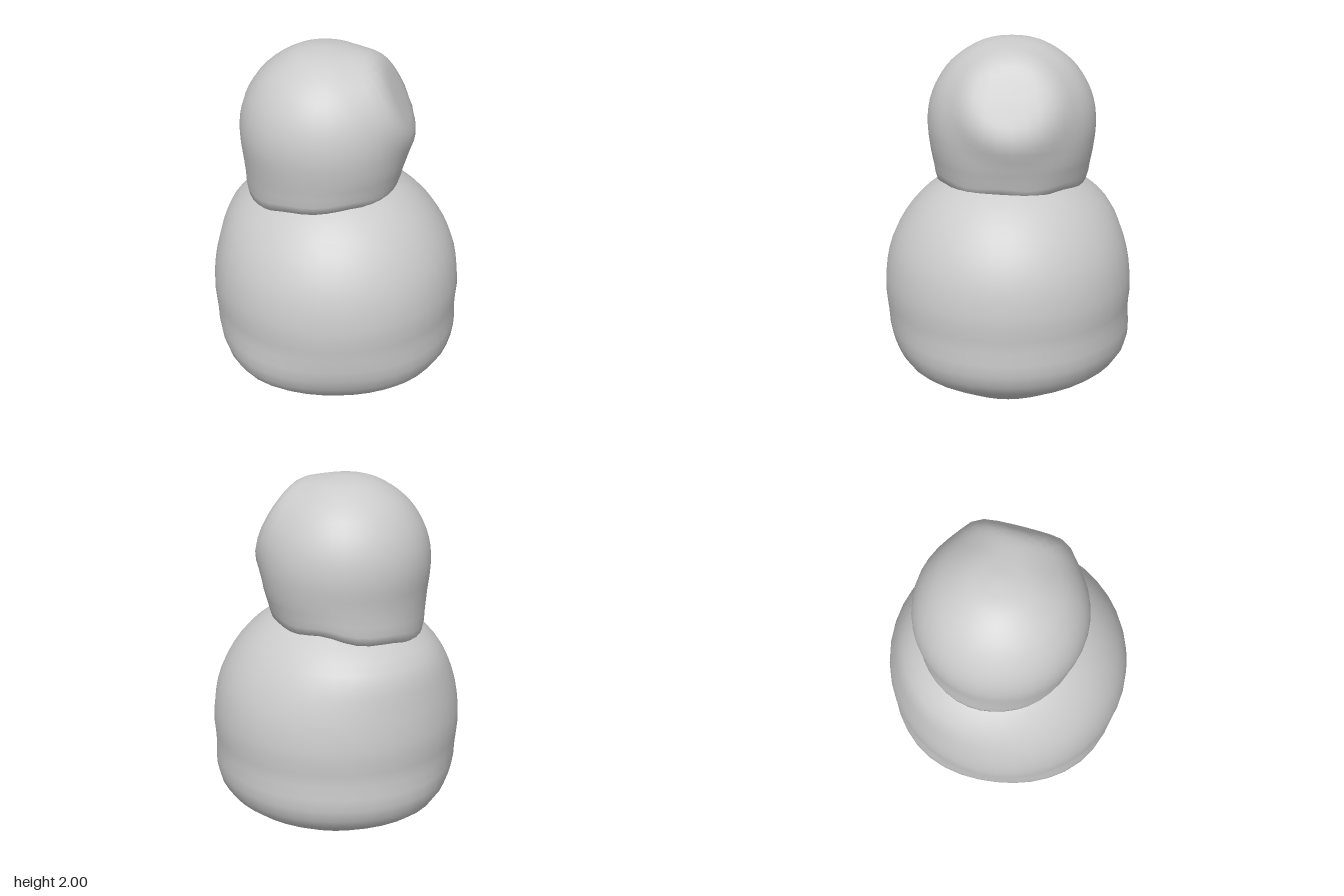
import * as THREE from 'three';
import { mergeVertices } from 'three/addons/utils/BufferGeometryUtils.js';

const gauss = (d, w) => Math.exp(-(d * d) / (w * w));

// Cyclic smooth interpolation of values spaced evenly round the y axis, from +z towards +x
function around(values, angle) {
  const n = values.length;
  const t = ((angle / (Math.PI * 2)) * n + n) % n;
  const i = Math.floor(t), f = t - i, s = f * f * (3 - 2 * f);
  return values[i % n] * (1 - s) + values[(i + 1) % n] * s;
}

// Lathe a curve through the profile, then sculpt each vertex by a rule
function sculpt(name, profile, sculptVertex) {
  const curve = new THREE.SplineCurve(profile.map(([r, y]) => new THREE.Vector2(r, y)));
  const points = curve.getSpacedPoints(32);
  points.forEach((p) => { p.x = Math.max(p.x, 0); });
  points[0].x = points[32].x = 0;
  let geo = new THREE.LatheGeometry(points, 40);
  geo.deleteAttribute('uv');
  geo.deleteAttribute('normal');
  const pos = geo.attributes.position, v = new THREE.Vector3();
  for (let i = 0; i < pos.count; i++) {
    v.fromBufferAttribute(pos, i);
    sculptVertex(v, Math.atan2(v.x, v.z));
    pos.setXYZ(i, v.x, v.y, v.z);
  }
  geo = mergeVertices(geo, 1e-4);
  geo.computeVertexNormals();
  const mesh = new THREE.Mesh(geo, new THREE.MeshStandardMaterial({ color: 0xcccccc }));
  mesh.name = name;
  return mesh;
}

export function createModel() {
  const group = new THREE.Group();
  group.name = 'stackedFigure';

  // Body: a ball with an uneven rim pressed out near its base
  const R = 0.67, CY = 0.68;
  const rim = [1, 0.6, 0.9, 0.95, 0.95, 1.05, 1.12, 0.65];
  const bodyProfile = [
    [0, 0.005], [0.14, 0.02], [0.27, 0.062], [0.43, 0.15], [0.61, 0.265], [0.665, 0.39],
    [0.66, 0.54], [0.67, 0.68], [0.645, 0.86], [0.58, 1.015], [0.474, 1.154], [0.335, 1.26],
    [0.17, 1.328], [0, 1.35],
  ];
  group.add(sculpt('body', bodyProfile, (v, a) => {
    const r = Math.hypot(v.x, v.z);
    if (r < 1e-4) return;
    let target = r;
    if (v.y < CY) {
      const ball = Math.sqrt(Math.max(0, R * R - (v.y - CY) ** 2));
      target = ball + (r - ball) * around(rim, a);
      if (r < 0.3) target = r;
    }
    // swollen shoulder on the right side
    target += 0.06 * gauss(v.y - 1.12, 0.16) * Math.max(0, -Math.sin(a)) ** 2;
    v.x *= target / r;
    v.z *= target / r;
  }));

  // Head: a ball with a loose, wavy lower edge and a flattened patch high on one side
  const headProfile = [
    [0, -0.3], [0.2, -0.31], [0.36, -0.33], [0.405, -0.315], [0.415, -0.25], [0.437, -0.12],
    [0.448, 0], [0.433, 0.12], [0.385, 0.235], [0.3, 0.338], [0.16, 0.424], [0, 0.45],
  ];
  const patch = new THREE.Vector3(0.7, 0.45, -0.5).normalize();
  const head = sculpt('head', headProfile, (v, a) => {
    const r = Math.hypot(v.x, v.z);
    const angle = v.angleTo(patch);
    v.multiplyScalar(1 + 0.06 * gauss(angle - 0.5, 0.2) - 0.025 * gauss(angle, 0.3));
    // lower edge droops to the front right
    const low = THREE.MathUtils.smoothstep(-v.y, 0.12, 0.33) * Math.min(1, r / 0.35);
    const droop = Math.max(0, Math.cos(a + 0.85));
    v.y += low * (0.02 - 0.07 * droop + 0.008 * Math.sin(a * 7));
    const flare = 1 + low * (0.05 * Math.max(0, -Math.sin(a)) ** 2 - 0.03 * Math.max(0, Math.cos(a - 2.36)));
    v.x *= flare;
    v.z *= flare;
  });
  head.position.set(-0.06, 1.55, 0.018);
  group.add(head);

  return group;
}
